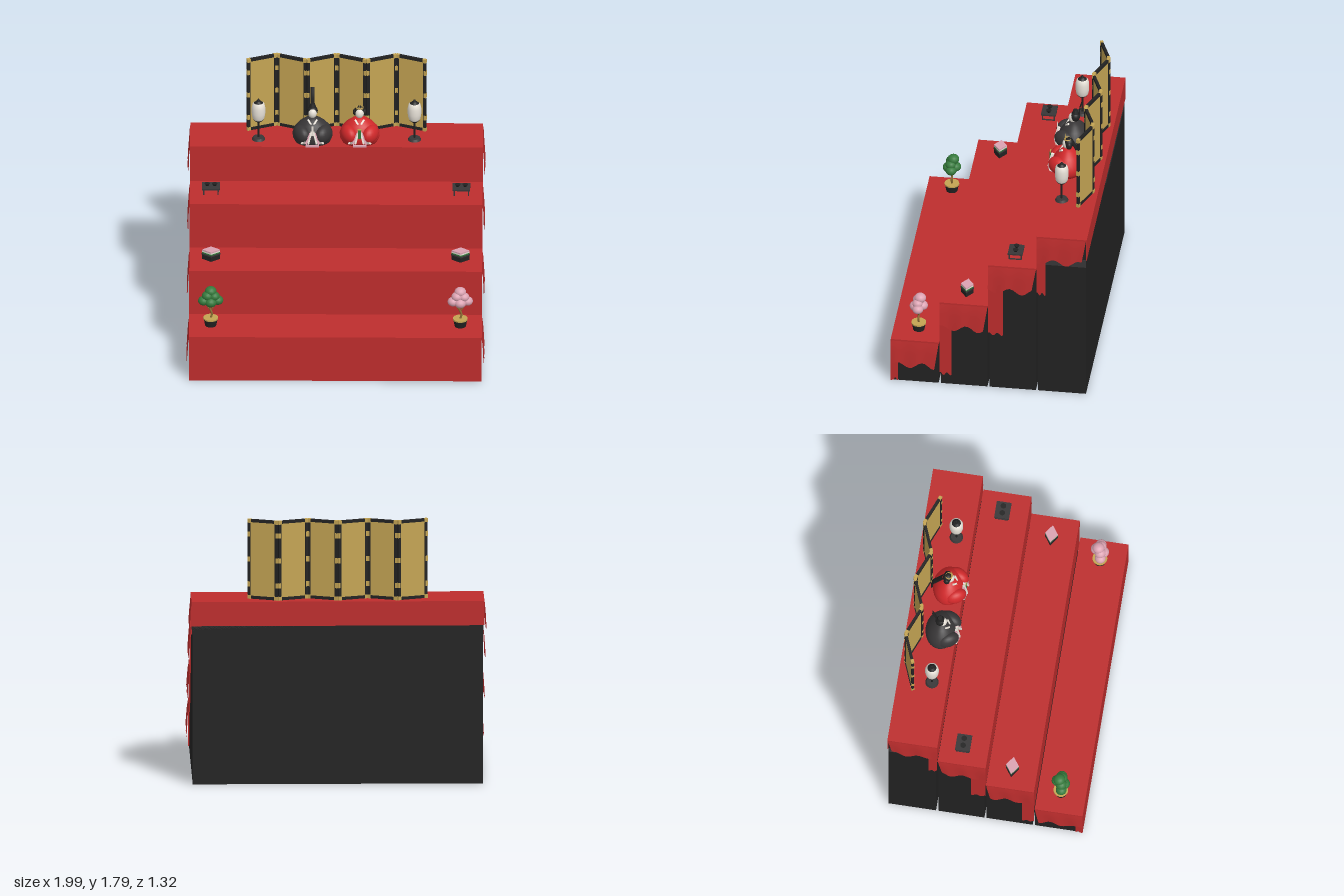
import * as THREE from 'three';

const mat = (name, color, side = THREE.FrontSide) => {
  const m = new THREE.MeshStandardMaterial({ color, side });
  m.name = name;
  return m;
};

export function createModel() {
  const red = mat('cloth red', 0xbd2d2d, THREE.DoubleSide);
  const black = mat('stand black', 0x222222);
  const gold = mat('gold', 0xc4a453);
  const robeRed = mat('robe red', 0xd0282a);
  const charcoal = mat('charcoal', 0x383637);
  const cream = mat('cream', 0xe8e2d8);
  const pink = mat('blossom pink', 0xdba3b2);
  const green = mat('leaf green', 0x357a3c);
  const grey = mat('silver grey', 0xa09a96);
  const brown = mat('trunk brown', 0x8f6f35);

  const root = new THREE.Group();
  root.name = 'tieredDisplay';
  const group = (name, parent, x = 0, y = 0, z = 0) => {
    const g = new THREE.Group();
    g.name = name;
    g.position.set(x, y, z);
    parent.add(g);
    return g;
  };
  const add = (parent, name, geo, m, x = 0, y = 0, z = 0) => {
    const mesh = new THREE.Mesh(geo, m);
    mesh.name = name;
    mesh.position.set(x, y, z);
    parent.add(mesh);
    return mesh;
  };
  const box = (p, name, m, w, h, d, x, y, z) => add(p, name, new THREE.BoxGeometry(w, h, d), m, x, y, z);
  const cyl = (p, name, m, rt, rb, h, x, y, z, n = 20) => add(p, name, new THREE.CylinderGeometry(rt, rb, h, n), m, x, y, z);
  const ball = (p, name, m, sx, sy, sz, x, y, z) => {
    const s = add(p, name, new THREE.SphereGeometry(1, 20, 14), m, x, y, z);
    s.scale.set(sx, sy, sz);
    return s;
  };

  // Hanging cloth at a side: flares outward and ends in a wavy hem
  const drape = (p, name, side, top, drop, zFront, width, flare, taper, phase) => {
    const geo = new THREE.PlaneGeometry(1, 1, 14, 4);
    const pos = geo.attributes.position;
    for (let i = 0; i < pos.count; i++) {
      const u = pos.getX(i) + 0.5, v = 0.5 - pos.getY(i);
      const hem = 0.022 * (1 + Math.sin(u * 11 + phase)) * (flare ? 1 : 0.5);
      const x = 0.977 + flare * (0.016 * Math.sqrt(v) + 0.004 * v * Math.sin(u * 14 + phase));
      pos.setXYZ(i, side * x, top - v * (drop - hem), zFront - u * (width - taper * v));
    }
    geo.computeVertexNormals();
    add(p, name, geo, red);
  };

  // Four steps: [tread height, front z, side strip width, strip bottom, riser bottom]
  const steps = [
    [0.33, 0.66, 0.05, 0, 0],
    [0.655, 0.33, 0.08, 0.07, 0.3],
    [0.985, 0.003, 0.10, 0.42, 0.63],
    [1.245, -0.325, 0.06, 0.77, 0.96],
  ];
  steps.forEach(([h, z, stripW, stripBottom, low], k) => {
    const s = group('step' + (k + 1), root);
    const d = k === 3 ? 0.335 : 0.325;
    box(s, 'stepBody', black, 1.944, h - 0.01, d - 0.012, 0, (h - 0.01) / 2, z - d / 2 - 0.003);
    box(s, 'treadCloth', red, 1.96, 0.012, d, 0, h - 0.006, z - d / 2);
    box(s, 'riserCloth', red, 1.96, h - low, 0.01, 0, (h + low) / 2, z - 0.005);
    for (const side of [-1, 1]) {
      drape(s, 'sideDrape', side, h, 0.215, z, d, 1, 0.03, k * 1.3);
      drape(s, 'riserWrap', side, h - 0.1, h - 0.1 - stripBottom, z, stripW, 0, 0, 1);
    }
  });
  box(root, 'backCloth', red, 1.96, 0.165, 0.006, 0, 1.1625, -0.66);
  box(root, 'backBand', charcoal, 1.95, 0.06, 0.3, 0, 1.05, -0.507);

  // Folding screen: six hinged panels
  const screen = group('foldingScreen', root, 0, 1.248, 0);
  const H = 0.542, L = Math.hypot(0.2, 0.08);
  for (let i = 0; i < 6; i++) {
    const dir = i % 2 ? -1 : 1;
    const p = group('screenPanel', screen, -0.5 + i * 0.2, 0, -0.59);
    p.rotation.y = dir * Math.atan2(0.08, 0.2);
    box(p, 'goldLeaf', gold, L - 0.02, H - 0.02, 0.008, 0, H / 2, 0);
    for (const s of [-1, 1]) {
      box(p, 'framePost', black, 0.02, H, 0.018, s * (L / 2 - 0.011), H / 2, 0);
      box(p, 'frameRail', black, L - 0.01, 0.02, 0.018, 0, H / 2 + s * (H / 2 - 0.01), 0);
      for (const y of [0.012, H - 0.012]) box(p, 'cornerCap', gold, 0.024, 0.026, 0.021, s * (L / 2 - 0.012), y, 0);
      for (const y of [0.1, 0.27, 0.44]) box(p, 'hinge', gold, 0.016, 0.035, 0.021, s * (L / 2 - 0.008), y, 0);
    }
  }

  // Floor lanterns
  for (const s of [-1, 1]) {
    const l = group('lantern', root, s * 0.522, 1.246, -0.433);
    cyl(l, 'lanternBase', charcoal, 0.036, 0.045, 0.016, 0, 0.008, 0);
    cyl(l, 'lanternPole', black, 0.007, 0.007, 0.14, 0, 0.08, 0, 10);
    cyl(l, 'lanternFoot', black, 0.034, 0.02, 0.014, 0, 0.143, 0);
    const shade = [[0.03, 0.148], [0.041, 0.165], [0.046, 0.2], [0.046, 0.24], [0.04, 0.268], [0.03, 0.276]];
    add(l, 'lanternShade', new THREE.LatheGeometry(shade.map(a => new THREE.Vector2(...a)), 24), cream);
    cyl(l, 'lanternCap', black, 0.014, 0.035, 0.02, 0, 0.28, 0);
    cyl(l, 'lanternKnob', black, 0.006, 0.012, 0.016, 0, 0.295, 0, 10);
  }

  // Seated dolls in wide robes
  const robeProfile = [[0, 0], [0.118, 0], [0.132, 0.03], [0.134, 0.06], [0.12, 0.1], [0.09, 0.135], [0.055, 0.162], [0.025, 0.178], [0, 0.18]];
  const doll = (name, x, robe) => {
    const g = group(name, root, x, 1.245, -0.425);
    const body = add(g, 'robe', new THREE.LatheGeometry(robeProfile.map(a => new THREE.Vector2(...a)), 32), robe);
    body.scale.z = 0.8;
    for (const s of [-1, 1]) {
      const arm = ball(g, 'sleeve', robe, 0.05, 0.062, 0.075, s * 0.072, 0.075, 0.055);
      arm.rotation.y = -s * 0.5;
      // layered sleeve openings fanning out from the hands
      [cream, pink, grey, cream].forEach((m, i) => {
        const layer = box(g, 'sleeveLayer', m, 0.012, 0.085 - i * 0.006, 0.02, s * (0.018 + i * 0.012), 0.075 - i * 0.007, 0.113 - i * 0.004);
        layer.rotation.set(-0.25, 0, s * (0.25 + i * 0.13));
      });
      const collar = box(g, 'collar', cream, 0.012, 0.055, 0.012, s * 0.016, 0.153, 0.047);
      collar.rotation.set(-0.6, 0, -s * 0.55);
    }
    box(g, 'hem', pink, 0.09, 0.014, 0.02, 0, 0.008, 0.1);
    cyl(g, 'neck', cream, 0.014, 0.016, 0.03, 0, 0.18, 0.005, 12);
    ball(g, 'face', cream, 0.029, 0.035, 0.029, 0, 0.208, 0.008);
    ball(g, 'hair', black, 0.035, 0.036, 0.033, 0, 0.218, -0.008);
    return g;
  };
  const tube = (pts, r) => new THREE.TubeGeometry(new THREE.CatmullRomCurve3(pts.map(a => new THREE.Vector3(...a))), 16, r, 8);

  const lord = doll('darkRobedDoll', -0.16, charcoal);
  cyl(lord, 'hat', black, 0.015, 0.026, 0.035, 0, 0.255, -0.01, 14);
  const plume = add(lord, 'hatTail', tube([[0, 0.24, -0.035], [0, 0.3, -0.042], [0, 0.368, -0.065]], 0.004), black);
  plume.scale.x = 3.2;
  box(lord, 'baton', cream, 0.012, 0.07, 0.005, 0, 0.125, 0.11);

  const lady = doll('redRobedDoll', 0.155, robeRed);
  const tail = add(lady, 'longHair', tube([[0, 0.22, -0.035], [0, 0.15, -0.07], [0, 0.08, -0.108], [0, 0.012, -0.114]], 0.008), black);
  tail.scale.x = 2.6;
  for (const s of [-1, 1]) ball(lady, 'hairWing', black, 0.018, 0.026, 0.02, s * 0.028, 0.207, -0.012);
  add(lady, 'crownBand', new THREE.TorusGeometry(0.022, 0.004, 8, 20), gold, 0, 0.246, 0).rotation.x = Math.PI / 2;
  for (let i = -2; i <= 2; i++) {
    const spike = cyl(lady, 'crownSpike', gold, 0.001, 0.004, 0.03, i * 0.011, 0.258, 0.016, 6);
    spike.rotation.z = -i * 0.15;
  }
  box(lady, 'fan', green, 0.018, 0.06, 0.006, 0, 0.105, 0.118);
  box(lady, 'fanTop', gold, 0.024, 0.012, 0.006, 0, 0.14, 0.116);

  for (const s of [-1, 1]) {
    // Low serving table with two small bowls
    const t = group('servingTable', root, s * 0.838, 0.985, -0.168);
    box(t, 'tableTop', charcoal, 0.118, 0.01, 0.1, 0, 0.044, 0);
    for (const a of [-1, 1]) {
      for (const b of [-1, 1]) box(t, 'tableLeg', charcoal, 0.008, 0.042, 0.008, a * 0.048, 0.021, b * 0.04);
      box(t, 'tableFoot', charcoal, 0.008, 0.006, 0.088, a * 0.048, 0.003, 0);
      cyl(t, 'bowl', black, 0.019, 0.009, 0.016, a * 0.025, 0.057, 0, 16);
    }

    // Diamond rice cakes on a stand
    const c = group('diamondCake', root, s * 0.835, 0.655, 0.162);
    [[black, 0.034, 0], [charcoal, 0.01, 0.034], [green, 0.009, 0.044], [cream, 0.009, 0.053], [pink, 0.009, 0.062]].forEach(([m, h, y], i) => {
      const layer = cyl(c, 'cakeLayer', m, 1, 1, h, 0, y + h / 2, 0, 4);
      const k = i === 1 ? 1.06 : 1;
      layer.scale.set(0.06 * k, 1, 0.043 * k);
      layer.geometry = layer.geometry.toNonIndexed();
      layer.geometry.computeVertexNormals();
    });

    // Potted tree: pink on the left, green on the right
    const leaf = s > 0 ? pink : green;
    const p = group(s > 0 ? 'blossomTree' : 'greenTree', root, s * 0.835, 0.33, 0.49);
    cyl(p, 'pot', black, 0.047, 0.038, 0.05, 0, 0.025, 0, 16);
    cyl(p, 'potRim', gold, 0.05, 0.05, 0.01, 0, 0.054, 0, 16);
    add(p, 'trunk', tube([[0, 0.055, 0], [0.008, 0.09, 0], [-0.006, 0.13, 0], [0, 0.19, 0]], 0.007), brown);
    for (const a of [-1, 1]) add(p, 'branch', tube([[0, 0.11, 0], [a * 0.02, 0.14, 0], [a * 0.04, 0.17, 0]], 0.004), brown);
    const clumps = [[0, 0.252, -0.01, 0.04], [-0.048, 0.19, 0.01, 0.037], [0.048, 0.19, 0, 0.037], [0, 0.185, 0.022, 0.04],
      [0.01, 0.2, -0.026, 0.038], [-0.022, 0.225, 0.005, 0.038], [0.025, 0.222, 0.004, 0.036]];
    clumps.forEach(([x, y, z, r]) => {
      const b = add(p, 'foliage', new THREE.IcosahedronGeometry(r, 2), leaf, x, y, z);
      b.scale.y = 0.85;
    });
  }
  return root;
}
